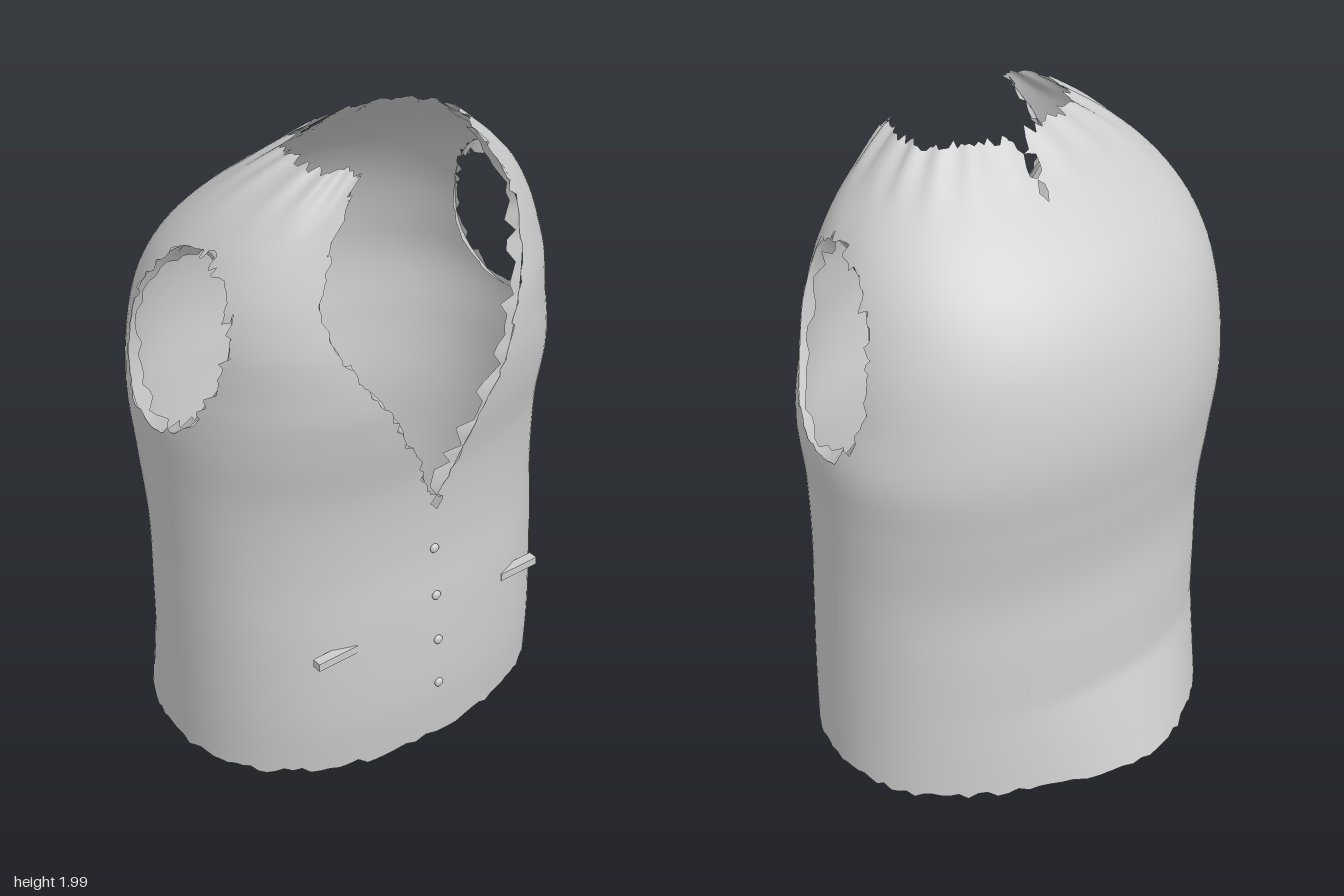
import * as THREE from 'three';
import { mergeVertices } from 'three/addons/utils/BufferGeometryUtils.js';

// Body sections: height, then right x, left x, back z, front z
const SECTIONS = [
  [0.01, -0.6, 0.655, -0.44, 0.48], [0.2, -0.605, 0.647, -0.435, 0.495], [0.5, -0.612, 0.637, -0.42, 0.49],
  [0.75, -0.62, 0.632, -0.405, 0.475], [1.0, -0.64, 0.637, -0.43, 0.487], [1.2, -0.66, 0.645, -0.45, 0.525],
  [1.35, -0.66, 0.615, -0.44, 0.543], [1.5, -0.648, 0.582, -0.4, 0.525], [1.6, -0.628, 0.547, -0.35, 0.495],
  [1.7, -0.59, 0.505, -0.275, 0.467], [1.8, -0.525, 0.44, -0.17, 0.442], [1.9, -0.425, 0.338, -0.045, 0.42],
  [2.0, -0.285, 0.215, 0.08, 0.395],
];
const sectionCurve = new THREE.CubicInterpolant(
  SECTIONS.map(s => s[0]), SECTIONS.flatMap(s => s.slice(1)), 4, new Float32Array(4));
// Neckline: height, right edge x, left edge x
const NECK = [[0.5, 0.13, -0.14], [0.9, -0.005, 0.005], [1.1, -0.09, 0.085], [1.3, -0.205, 0.19], [1.5, -0.34, 0.265],
  [1.62, -0.385, 0.315], [1.72, -0.365, 0.325], [1.82, -0.32, 0.3], [1.92, -0.25, 0.24], [2.02, -0.19, 0.17]];
const neckCurve = new THREE.LinearInterpolant(
  NECK.map(s => s[0]), NECK.flatMap(s => s.slice(1)), 2, new Float32Array(2));

const hash = (i, j) => {
  const s = Math.sin(i * 127.1 + j * 311.7) * 43758.5453;
  return s - Math.floor(s);
};

function section(y) {
  const [l, r, b, f] = sectionCurve.evaluate(Math.min(2, Math.max(0.01, y)));
  return { xc: (l + r) / 2, a: (r - l) / 2, zc: (b + f) / 2, b: (f - b) / 2 };
}

// Roundness of the section: the front shoulders are squarer
const power = (y, front) => 2.2 + (front ? 0.5 * THREE.MathUtils.smoothstep(y, 1.35, 1.7) : 0);

// Flare of the lower back
function flare(x, y) {
  const k = Math.max(0, 1 - y / 0.32);
  return -0.105 * k * Math.exp(-(((x + 0.17) / 0.36) ** 2));
}

function surface(angle, y) {
  const s = section(y), c = Math.cos(angle), n = Math.sin(angle), e = 2 / power(y, n > 0);
  // Small gathers around the neck
  const gather = 1 + 0.035 * THREE.MathUtils.smoothstep(y, 1.84, 2) * Math.cos(angle * 17);
  const x = s.xc + s.a * gather * Math.sign(c) * Math.abs(c) ** e;
  const z = s.zc + s.b * gather * Math.sign(n) * Math.abs(n) ** e;
  return new THREE.Vector3(x, y, z + (n < 0 ? flare(x, y) * Math.min(1, -n * 2) : 0));
}

const arc = (t, p) => Math.max(0, 1 - Math.abs(t) ** p) ** (1 / p);
const frontZ = (x, y) => { const s = section(y); return s.zc + s.b * arc((x - s.xc) / s.a, power(y, true)); };
const sideX = (z, y, side) => {
  const s = section(y);
  return s.xc + side * s.a * arc((z - s.zc) / s.b, power(y, z > s.zc));
};

// Tilted armhole ellipse in z and y
const ARM = { z: 0.09, y: 1.48, rz: 0.2, ry: 0.285, lean: 0.22 };

// Positive on cloth, negative inside the openings
function cloth(p) {
  const s = section(p.y), dy = p.y - ARM.y, dz = p.z - ARM.z - ARM.lean * dy;
  const arm = (Math.hypot(dz / ARM.rz, dy / ARM.ry) - 1) * 0.2;
  const [l, r] = neckCurve.evaluate(Math.max(0.5, p.y));
  const neck = Math.max(l - p.x, p.x - r, s.zc - p.z);
  const notch = Math.max(Math.abs(p.x + 0.05) - (p.y - 1.84) * 0.2, p.z - s.zc);
  return Math.min(arm, neck, notch);
}

// Shell clipped along the openings, with a torn edge
function shellGeometry() {
  const nu = 120, nv = 80, out = [], grid = [];
  for (let j = 0; j <= nv; j++) {
    for (let i = 0; i < nu; i++) {
      let y = 0.01 + (1.99 * j) / nv;
      if (j === 0) y += hash(i, 3) * 0.026;
      if (j === nv) y -= hash(i, 9) * 0.022;
      const p = surface((i / nu) * Math.PI * 2, y);
      grid.push({ p, f: cloth(p) + (hash(i, j) - 0.5) * 0.034 });
    }
  }
  const at = (i, j) => grid[j * nu + (i % nu)];
  const addClipped = tri => {
    const poly = [];
    tri.forEach((v, k) => {
      const w = tri[(k + 1) % 3];
      if (v.f >= 0) poly.push(v.p);
      if (v.f >= 0 !== w.f >= 0) poly.push(v.p.clone().lerp(w.p, v.f / (v.f - w.f)));
    });
    for (let k = 1; k + 1 < poly.length; k++)
      for (const q of [poly[0], poly[k], poly[k + 1]]) out.push(q.x, q.y, q.z);
  };
  for (let j = 0; j < nv; j++) {
    for (let i = 0; i < nu; i++) {
      const a = at(i, j), b = at(i + 1, j), c = at(i + 1, j + 1), d = at(i, j + 1);
      addClipped([a, d, b]);
      addClipped([b, d, c]);
    }
  }
  return finish(out);
}

function finish(positions) {
  let g = new THREE.BufferGeometry();
  g.setAttribute('position', new THREE.Float32BufferAttribute(positions, 3));
  g = mergeVertices(g, 1e-5);
  g.computeVertexNormals();
  return g;
}

// Ribbon between two rows of points
function ribbon(outer, inner) {
  const out = [];
  for (let k = 0; k + 1 < outer.length; k++)
    for (const q of [outer[k], inner[k], outer[k + 1], outer[k + 1], inner[k], inner[k + 1]])
      out.push(q.x, q.y, q.z);
  return finish(out);
}

export function createModel() {
  const model = new THREE.Group();
  model.name = 'waistcoat';
  const grey = new THREE.MeshStandardMaterial({ color: 0xcccccc, side: THREE.DoubleSide });
  grey.name = 'light grey cloth';
  const add = (name, geometry) => {
    const m = new THREE.Mesh(geometry, grey);
    m.name = name;
    model.add(m);
    return m;
  };

  add('body', shellGeometry());

  // Turned-in armhole edges
  for (const side of [-1, 1]) {
    const outer = [], inner = [], n = 48;
    for (let k = 0; k <= n; k++) {
      const t = (k / n) * Math.PI * 2, h = hash(k % n, side + 5);
      const point = (scale, depth) => {
        const dy = Math.sin(t) * ARM.ry * scale;
        const z = ARM.z + ARM.lean * dy + Math.cos(t) * ARM.rz * scale, y = ARM.y + dy;
        return new THREE.Vector3(sideX(z, y, side) - side * depth, y, z);
      };
      outer.push(point(1.03, 0.002));
      inner.push(point(1.0 - h * 0.12, 0.015 + h * 0.035));
    }
    add(side > 0 ? 'leftArmholeEdge' : 'rightArmholeEdge', ribbon(outer, inner));
  }

  // Turned-in neckline edges
  for (const side of [-1, 1]) {
    const outer = [], inner = [], n = 40;
    for (let k = 0; k <= n; k++) {
      const y = 0.91 + (1.06 * k) / n, h = hash(k, side + 20);
      const x = neckCurve.evaluate(y)[side > 0 ? 1 : 0], z = frontZ(x, y);
      outer.push(new THREE.Vector3(x + side * 0.006, y, z - 0.003));
      inner.push(new THREE.Vector3(x - side * (h - 0.3) * 0.035, y, z - 0.012 - h * 0.03));
    }
    add(side > 0 ? 'leftNeckEdge' : 'rightNeckEdge', ribbon(outer, inner));
  }

  // Turned-in hem
  const outer = [], inner = [];
  for (let k = 0; k <= 120; k++) {
    const i = k % 120, p = surface((i / 120) * Math.PI * 2, 0.01 + hash(i, 3) * 0.026);
    outer.push(p);
    inner.push(new THREE.Vector3(p.x * 0.97, 0.005 + hash(i, 31) * 0.045, p.z * 0.97));
  }
  add('hemEdge', ribbon(outer, inner));

  // Buttons down the front
  for (const [x, y] of [[-0.002, 0.74], [0.002, 0.572], [0.008, 0.407], [0.014, 0.24]]) {
    const button = add('button', new THREE.SphereGeometry(0.015, 14, 10));
    button.scale.z = 0.6;
    button.position.set(x, y, frontZ(x, y) + 0.004);
  }

  // Straight pocket welts
  for (const x of [-0.335, 0.36]) {
    const welt = add(x > 0 ? 'leftPocket' : 'rightPocket', new THREE.BoxGeometry(0.14, 0.026, 0.03));
    welt.position.set(x, 0.48, 0.442);
  }
  return model;
}
